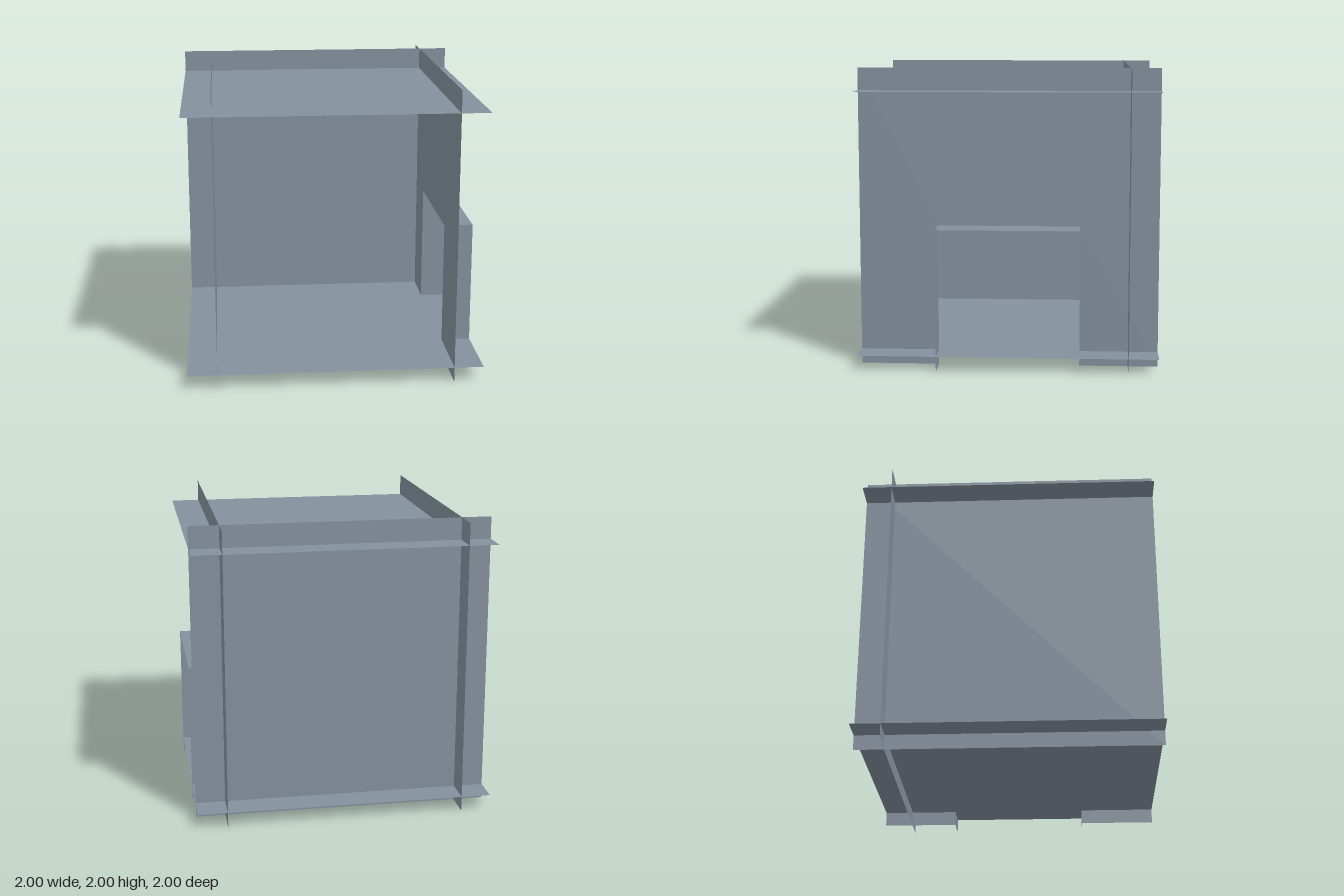
import * as THREE from 'three';

export function createModel() {
  const model = new THREE.Group();
  model.name = 'room';
  const slate = new THREE.MeshStandardMaterial({ color: 0x84909d, side: THREE.DoubleSide });
  slate.name = 'slate grey';

  const SIZE = 2, WALL = 0.8;      // sheet size, wall offset from the centre
  const DOOR = 0.475, HEAD = 0.95; // doorway half width and height

  const add = (name, geometry, x, y, z) => {
    const mesh = new THREE.Mesh(geometry, slate);
    mesh.name = name;
    mesh.position.set(x, y, z);
    model.add(mesh);
  };
  const sheet = (w, h) => new THREE.PlaneGeometry(w, h);

  // Floor and ceiling, overhanging the walls
  add('floor', sheet(SIZE, SIZE).rotateX(-Math.PI / 2), 0, 0.1, 0);
  add('ceiling', sheet(SIZE, SIZE).rotateX(-Math.PI / 2), 0, 1.85, 0);

  // Solid walls; the front stays open
  add('backWall', sheet(SIZE, SIZE), 0, 1, -WALL);
  add('leftOuterWall', sheet(SIZE, SIZE).rotateY(Math.PI / 2), -WALL, 1, 0);

  // Wall with a doorway cut up from its bottom edge
  const outline = [
    [-1, 0], [-DOOR, 0], [-DOOR, HEAD], [DOOR, HEAD],
    [DOOR, 0], [1, 0], [1, SIZE], [-1, SIZE],
  ].map(([x, y]) => new THREE.Vector2(x, y));
  add('doorWall', new THREE.ShapeGeometry(new THREE.Shape(outline)).rotateY(Math.PI / 2), WALL, 0, 0);

  // Door reveal standing out from the wall
  const depth = 1 - WALL, mid = WALL + depth / 2;
  for (const side of [-1, 1]) {
    add(side > 0 ? 'frontDoorJamb' : 'backDoorJamb', sheet(depth, HEAD), mid, HEAD / 2, side * DOOR);
  }
  add('doorLintel', sheet(depth, DOOR * 2).rotateX(-Math.PI / 2), mid, HEAD, 0);

  return model;
}
